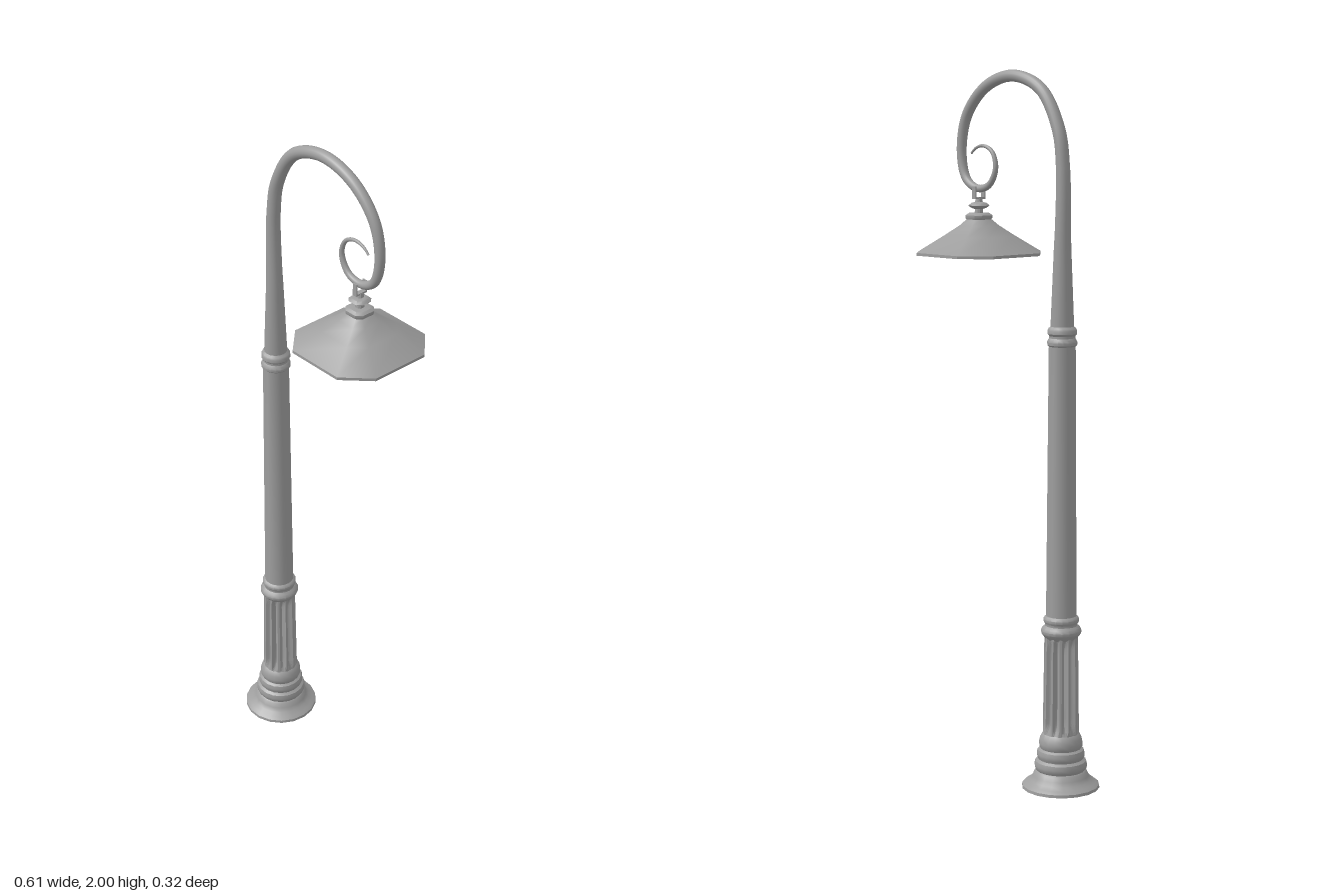
import * as THREE from 'three';
import { toCreasedNormals } from 'three/addons/utils/BufferGeometryUtils.js';

const POLE_X = -0.196;
const LAMP_X = 0.146;
const metal = new THREE.MeshStandardMaterial({ color: 0x9e9e9e, side: THREE.DoubleSide });

function addMesh(parent, name, geometry) {
  const mesh = new THREE.Mesh(geometry, metal);
  mesh.name = name;
  parent.add(mesh);
  return mesh;
}

// Turned part from [radius, y] pairs, listed bottom to top
function turned(profile, sides = 18) {
  const points = profile.map(([r, y]) => new THREE.Vector2(r, y));
  const geometry = new THREE.LatheGeometry(points, sides).rotateY(Math.PI / 2);
  return toCreasedNormals(geometry, 0.6);
}

// Chamfered-square loft from [half width, y] pairs, listed bottom to top
function chamferedLoft(profile, cut = 0.55) {
  const corners = [[1, cut], [1, -cut], [cut, -1], [-cut, -1], [-1, -cut], [-1, cut], [-cut, 1], [cut, 1]];
  const positions = [];
  const indices = [];
  profile.forEach(([w, y], i) => {
    corners.forEach(([x, z], j) => {
      positions.push(x * w, y, z * w);
      if (i === 0) return;
      const a = (i - 1) * 8 + j;
      const b = (i - 1) * 8 + (j + 1) % 8;
      indices.push(a, b, b + 8, a, b + 8, a + 8);
    });
  });
  const geometry = new THREE.BufferGeometry();
  geometry.setAttribute('position', new THREE.Float32BufferAttribute(positions, 3));
  geometry.setIndex(indices);
  return toCreasedNormals(geometry, 0.6);
}

// Column section with vertical grooves that fade out at both ends
function flutedColumn(y0, y1, r0, r1, flutes) {
  const height = y1 - y0;
  const geometry = new THREE.CylinderGeometry(1, 1, height, flutes * 8, 16, true);
  const pos = geometry.attributes.position;
  for (let i = 0; i < pos.count; i++) {
    const t = pos.getY(i) / height + 0.5;
    const angle = Math.atan2(pos.getZ(i), pos.getX(i));
    const groove = Math.max(0, Math.cos(angle * flutes) + 0.35) / 1.35;
    const fade = Math.min(1, t / 0.1, (1 - t) / 0.1);
    const r = THREE.MathUtils.lerp(r0, r1, t) - 0.013 * Math.sqrt(groove) * fade;
    pos.setXYZ(i, Math.cos(angle) * r, y0 + t * height, Math.sin(angle) * r);
  }
  return toCreasedNormals(geometry, 0.6);
}

// Tube whose radius follows [u, radius] stops along the curve
function taperedTube(curve, stops, segments, sides) {
  const geometry = new THREE.TubeGeometry(curve, segments, 1, sides);
  const pos = geometry.attributes.position;
  const v = new THREE.Vector3();
  for (let i = 0; i <= segments; i++) {
    const u = i / segments;
    const k = Math.max(1, stops.findIndex(([s]) => s >= u));
    const [u0, r0] = stops[k - 1];
    const [u1, r1] = stops[k];
    const r = THREE.MathUtils.mapLinear(u, u0, u1, r0, r1);
    const centre = curve.getPointAt(u);
    for (let j = 0; j <= sides; j++) {
      const n = i * (sides + 1) + j;
      v.fromBufferAttribute(pos, n).sub(centre).multiplyScalar(r).add(centre);
      pos.setXYZ(n, v.x, v.y, v.z);
    }
  }
  return geometry;
}

function createPole() {
  const pole = new THREE.Group();
  pole.name = 'pole';
  pole.position.x = POLE_X;

  // Flared foot with three stacked rings, open underneath
  addMesh(pole, 'base', turned([
    [0.11, 0], [0.109, 0.008], [0.1, 0.015], [0.087, 0.023], [0.079, 0.034], [0.074, 0.046],
    [0.069, 0.05], [0.073, 0.056], [0.075, 0.066], [0.072, 0.077], [0.064, 0.083],
    [0.067, 0.089], [0.068, 0.099], [0.065, 0.109], [0.058, 0.114],
    [0.061, 0.12], [0.062, 0.13], [0.059, 0.143], [0.052, 0.156], [0.044, 0.162],
  ]));
  addMesh(pole, 'flutedSection', flutedColumn(0.155, 0.44, 0.051, 0.047, 12));
  addMesh(pole, 'lowerCollar', turned([
    [0.044, 0.43], [0.05, 0.438], [0.056, 0.446], [0.057, 0.454], [0.053, 0.462],
    [0.046, 0.468], [0.046, 0.474], [0.05, 0.48], [0.05, 0.487], [0.046, 0.493], [0.042, 0.496],
  ]));
  addMesh(pole, 'shaft', turned([[0.043, 0.48], [0.037, 1.265]]));
  addMesh(pole, 'upperCollar', turned([
    [0.036, 1.25], [0.041, 1.255], [0.042, 1.263], [0.039, 1.27], [0.036, 1.274],
    [0.036, 1.28], [0.041, 1.286], [0.041, 1.295], [0.038, 1.301], [0.032, 1.306],
  ]));
  return pole;
}

// Upright, arch and scroll in one sweep
function createArm() {
  const path = [
    [POLE_X, 1.29], [POLE_X, 1.5], [POLE_X, 1.74], [-0.178, 1.84], [-0.11, 1.945], [0.003, 1.983],
    [0.118, 1.952], [0.198, 1.87], [0.219, 1.765], [0.198, 1.695], [0.15, 1.67], [0.1, 1.683],
    [0.075, 1.73], [0.09, 1.774], [0.128, 1.79], [0.16, 1.782], [0.177, 1.768],
  ].map(([x, y]) => new THREE.Vector3(x, y, 0));
  const curve = new THREE.CatmullRomCurve3(path, false, 'centripetal');
  curve.arcLengthDivisions = 600;
  const stops = [[0, 0.033], [0.18, 0.022], [0.3, 0.019], [0.47, 0.017], [0.66, 0.0155], [0.78, 0.0135], [1, 0.003]];
  return taperedTube(curve, stops, 140, 16);
}

function createLamp() {
  const lamp = new THREE.Group();
  lamp.name = 'lamp';
  lamp.position.x = LAMP_X;

  // Clamp around the scroll
  for (const side of [-1, 1]) {
    const cheek = addMesh(lamp, 'hangerCheek', new THREE.BoxGeometry(0.014, 0.035, 0.004));
    cheek.position.set(0, 1.658, side * 0.017);
  }
  const bridge = addMesh(lamp, 'hangerBridge', new THREE.BoxGeometry(0.014, 0.005, 0.038));
  bridge.position.y = 1.643;

  addMesh(lamp, 'hangerStem', chamferedLoft([
    [0, 1.592], [0.012, 1.592], [0.01, 1.612], [0.02, 1.616], [0.027, 1.622],
    [0.02, 1.629], [0.01, 1.632], [0.008, 1.643], [0, 1.643],
  ]));
  addMesh(lamp, 'shadeCap', chamferedLoft([
    [0.03, 1.58], [0.034, 1.587], [0.034, 1.595], [0.026, 1.601], [0, 1.602],
  ]));

  // Open shade with a short lip
  addMesh(lamp, 'shade', chamferedLoft([
    [0.158, 1.483], [0.158, 1.491], [0.09, 1.537], [0.05, 1.566], [0.03, 1.585],
  ]));

  addMesh(lamp, 'bulbSocket', turned([[0, 1.56], [0.016, 1.56], [0.016, 1.59]], 12));
  addMesh(lamp, 'bulb', turned([
    [0, 1.488], [0.013, 1.491], [0.024, 1.5], [0.029, 1.514], [0.028, 1.528],
    [0.023, 1.543], [0.017, 1.555], [0.015, 1.564],
  ], 16));
  return lamp;
}

export function createModel() {
  const model = new THREE.Group();
  model.name = 'streetLamp';
  model.add(createPole());
  addMesh(model, 'arm', createArm());
  model.add(createLamp());
  return model;
}
